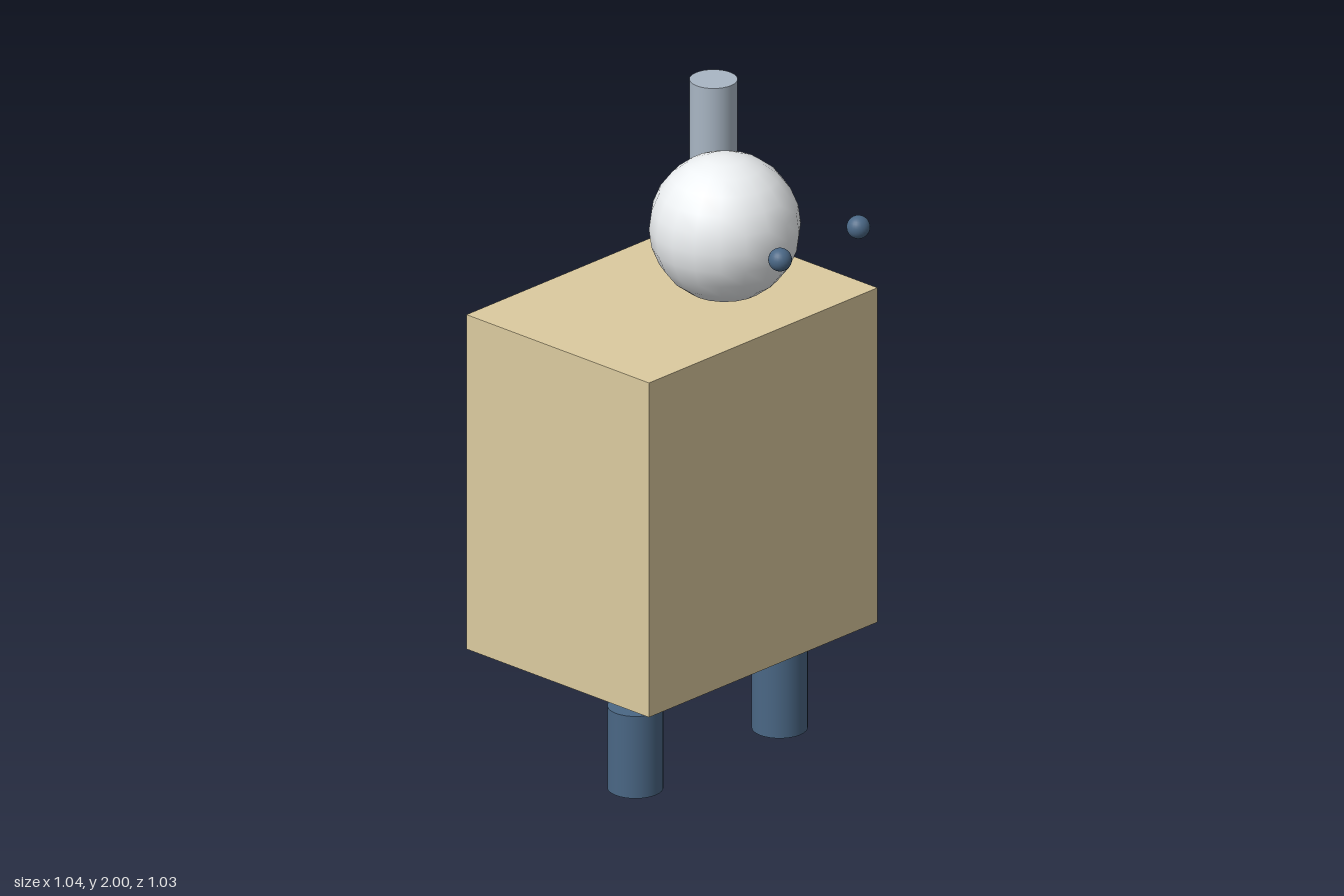
import * as THREE from 'three';

export function createModel() {
  const model = new THREE.Group();
  const paint = (color) => new THREE.MeshStandardMaterial({ color });
  const white = paint(0xeceff1), tan = paint(0xdccb9f), blue = paint(0x4a6785), steel = paint(0xa9b6c4);

  function add(name, geometry, material, x, y, z) {
    const mesh = new THREE.Mesh(geometry, material);
    mesh.name = name;
    mesh.position.set(x, y, z);
    model.add(mesh);
  }

  const cx = -0.02; // the figure's own centre line

  // Boxy torso and the ball head floating above it
  add('body', new THREE.BoxGeometry(1.004, 1.1, 0.76), tan, cx, 0.907, -0.135);
  add('head', new THREE.SphereGeometry(0.231, 18, 12), white, cx, 1.769, 0.085);

  // Paired legs and floating eyes
  const legGeometry = new THREE.CylinderGeometry(0.085, 0.085, 0.27, 32);
  const eyeGeometry = new THREE.SphereGeometry(0.036, 24, 16);
  for (const [side, s] of [['left', 1], ['right', -1]]) {
    add(side + 'Leg', legGeometry, blue, cx + s * 0.317, 0.135, 0.013);
    add(side + 'Eye', eyeGeometry, blue, cx + s * 0.172, 1.829, 0.478);
  }

  // Upright pipe set into the back left corner of the body
  add('pipe', new THREE.CylinderGeometry(0.073, 0.073, 0.809, 32), steel, 0.447, 1.558, -0.405);

  return model;
}
